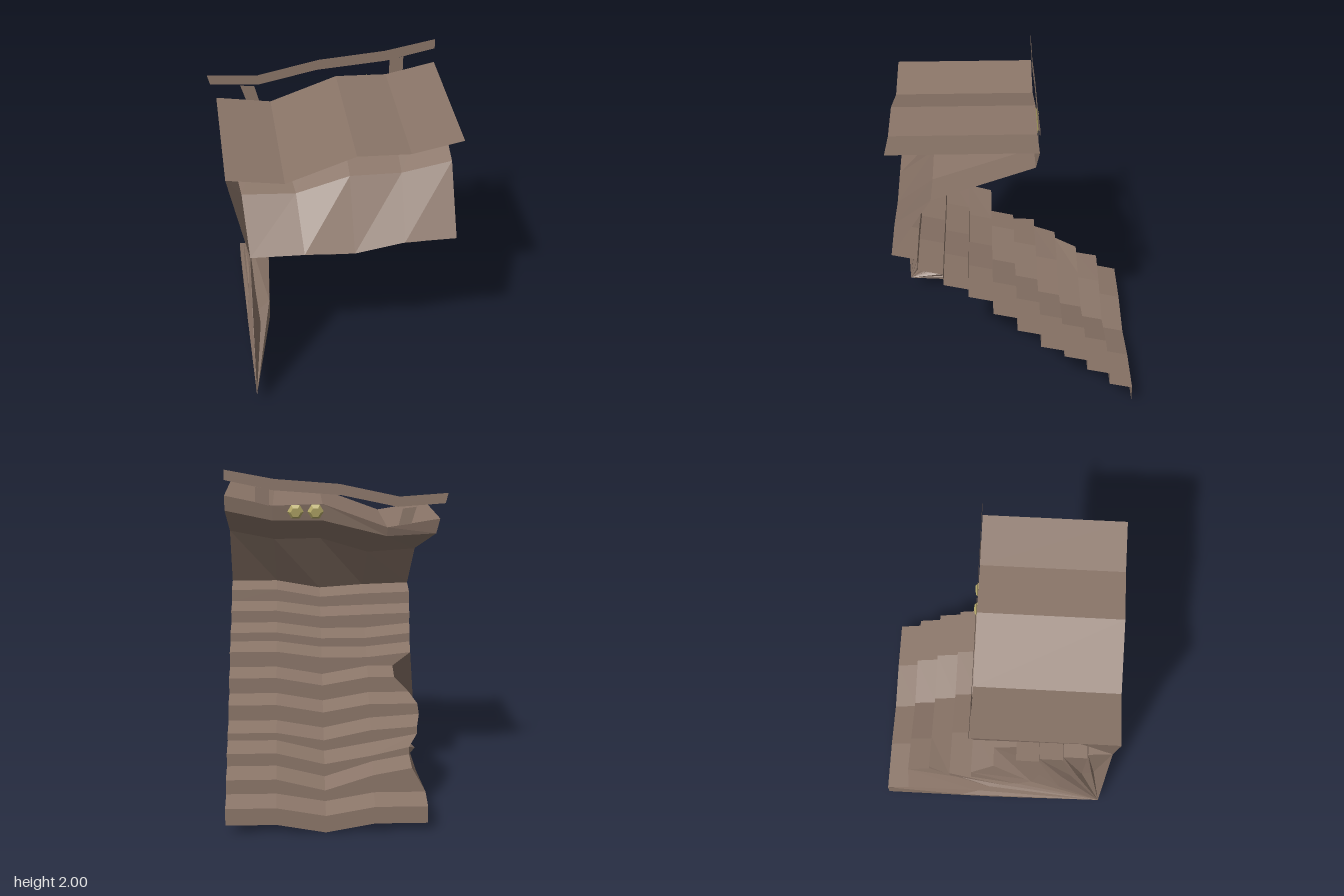
import * as THREE from 'three';

const rock = new THREE.MeshStandardMaterial({ color: 0x8a7568, flatShading: true, side: THREE.DoubleSide });
const lamp = new THREE.MeshStandardMaterial({ color: 0xb8ac6a, flatShading: true, side: THREE.DoubleSide });

// Faceted surface through equal-length rows of [x, y, z] points
function loft(rows, name) {
  const n = rows[0].length, index = [];
  for (let r = 0; r < rows.length - 1; r++) {
    for (let c = 0; c < n - 1; c++) {
      const a = r * n + c, b = a + 1, d = a + n, e = d + 1;
      index.push(a, d, b, b, d, e);
    }
  }
  const g = new THREE.BufferGeometry();
  g.setAttribute('position', new THREE.Float32BufferAttribute(rows.flat(2), 3));
  g.setIndex(index);
  const flat = g.toNonIndexed();
  flat.computeVertexNormals();
  const m = new THREE.Mesh(flat, rock);
  m.name = name;
  return m;
}

// Flat panel in the x-y plane at depth z
function panel(points, z, name) {
  const g = new THREE.ShapeGeometry(new THREE.Shape(points.map(p => new THREE.Vector2(...p))));
  g.translate(0, 0, z);
  const m = new THREE.Mesh(g, rock);
  m.name = name;
  return m;
}

export function createModel() {
  const group = new THREE.Group();
  const row = (xs, ys, z) => xs.map((x, i) => [x, ys[i], z]);

  // Sagging steps: height of each nosing at the left, mid-left, centre and right
  const nosing = [
    [.15, .15, .10, .15], [.33, .29, .20, .27], [.41, .36, .31, .38], [.49, .47, .41, .46], [.59, .59, .54, .59],
    [.72, .72, .67, .72], [.84, .81, .81, .85], [.93, .90, .90, .94], [1.03, 1.02, 1.01, 1.05], [1.14, 1.13, 1.11, 1.16],
  ];
  // Ragged left end of each step, front and rear
  const leftEnd = [
    [-.5, -.5], [-.42, -.415], [-.415, -.475], [-.475, -.5], [-.49, -.45],
    [-.36, -.36], [-.47, -.48], [-.48, -.49], [-.49, -.5], [-.5, -.5],
  ];
  const cols = left => [left, -.2, .08, .36, .65];
  const spread = (h, lift) => [h[0], h[1], h[2], h[3], h[3]].map(y => y + lift);
  const stairRows = [row(cols(-.5), [.05, .05, 0, .05, .05], -.7)];
  nosing.forEach((h, i) => {
    const z = -.7 + .139 * i;
    stairRows.push(row(cols(leftEnd[i][0]), spread(h, 0), z));
    stairRows.push(row(cols(leftEnd[i][1]), spread(h, .035), z + .139));
  });
  group.add(loft(stairRows, 'steps'));

  // Cracked rock wall fanning from the low rear corner to the step ends
  const anchor = [-.5, .1, .69];
  const rim = [[-.5, .05, 0], ...stairRows.map(r => r[0])];
  const wallRows = rim.map((p, i) => {
    const t = i % 2 ? .35 : .5;
    const mid = p.map((v, k) => v + (anchor[k] - v) * t);
    if (i > 1 && i < rim.length - 1) mid[0] = i % 2 ? -.49 : -.455;
    if (i === 12 || i === 13) mid[0] = -.38;
    if (i === 14) mid[0] = -.52;
    return [p, mid, anchor];
  });
  group.add(loft(wallRows, 'rockWall'));

  // Overhanging canopy: roof, lip, underside and back slope
  const roofX = [-.61, -.3, .08, .37, .65];
  const roofY = [1.71, 1.66, 1.80, 1.79, 1.85];
  const canopyRows = [
    row(roofX, roofY, .69),
    row(roofX, roofY, -.12),
    row([-.59, -.3, .08, .37, .65], [1.62, 1.605, 1.70, 1.70, 1.76], -.1),
    row([-.52, -.22, .08, .37, .65], [1.44, 1.42, 1.51, 1.505, 1.56], .46),
    stairRows[stairRows.length - 1],
  ];
  group.add(loft(canopyRows, 'canopy'));

  // Closed left end of the canopy
  const corner = canopyRows[0][0];
  group.add(loft(canopyRows.slice(1).map(r => [corner, r[0]]), 'canopySide'));

  // Thin railing along the lip
  group.add(panel([
    [-.655, 1.86], [-.37, 1.84], [-.02, 1.915], [.36, 1.945], [.65, 2.0],
    [.65, 1.94], [.37, 1.88], [-.03, 1.85], [-.36, 1.78], [-.64, 1.80],
  ], -.12, 'handrail'));
  group.add(panel([[-.47, 1.78], [-.39, 1.77], [-.365, 1.67], [-.44, 1.68]], -.12, 'leftRailPost'));
  group.add(panel([[.39, 1.79], [.47, 1.81], [.47, 1.9], [.39, 1.885]], -.12, 'rightRailPost'));

  // Pair of hexagonal lamps on the lip
  for (const x of [.12, .237]) {
    const g = new THREE.CylinderGeometry(.03, .048, .02, 6);
    g.rotateY(Math.PI / 6);
    g.rotateX(-Math.PI / 2 - .2);
    const m = new THREE.Mesh(g, lamp);
    m.position.set(x, 1.752, -.122);
    m.name = 'lamp';
    group.add(m);
  }
  return group;
}
